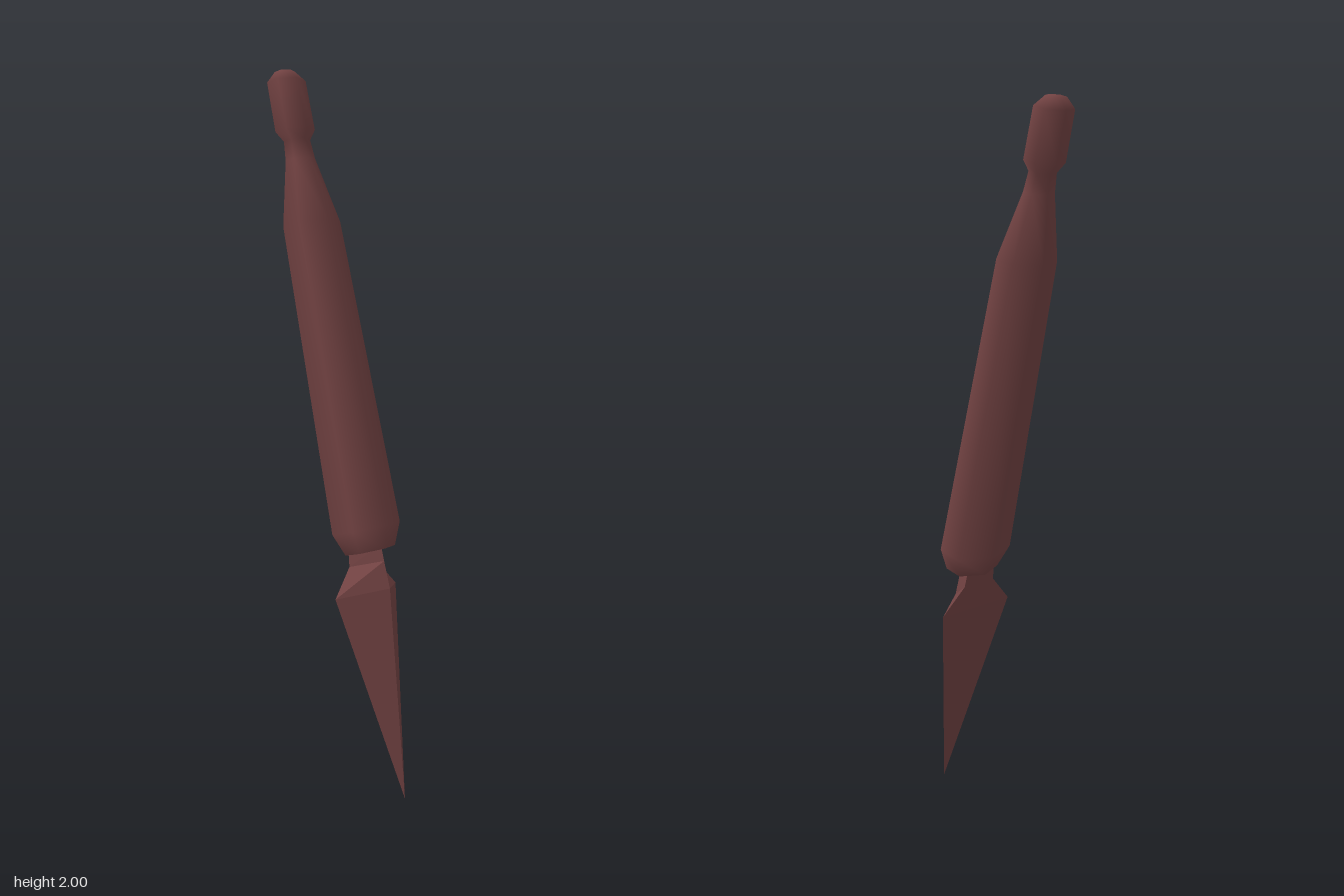
import * as THREE from 'three';

const color = 0x734343;

// Six-sided smooth grip with neck and pommel; x radius listed, z is wider
function makeHandle() {
  const profile = [
    [0.054, 0.707], [0.0735, 0.77], [0.061, 1.626], [0.0315, 1.808],
    [0.028, 1.862], [0.042, 1.89], [0.041, 2.029], [0.021, 2.058], [0, 2.06],
  ].map(([r, y]) => new THREE.Vector2(r, y));
  const handle = new THREE.Group();
  handle.name = 'handle';
  const grip = new THREE.Mesh(
    new THREE.LatheGeometry(profile, 6, Math.PI / 2),
    new THREE.MeshStandardMaterial({ color })
  );
  grip.name = 'grip';
  const base = new THREE.Mesh(
    new THREE.CircleGeometry(0.054, 6).rotateX(Math.PI / 2).translate(0, 0.707, 0),
    new THREE.MeshStandardMaterial({ color })
  );
  base.name = 'gripBase';
  handle.add(grip, base);
  handle.scale.z = 1.62;
  return handle;
}

// Triangular blade: flat back, raised ridge, pointed tip
function makeBlade() {
  // height, back x, ridge x, half width
  const sections = [
    [0.01, -0.0365, -0.0365, 0],
    [0.596, -0.042, 0.045, 0.131],
    [0.673, -0.037, 0.042, 0.057],
    [0.72, -0.034, 0.041, 0.052],
  ];
  const positions = [];
  const index = [];
  sections.forEach(([y, back, ridge, w], i) => {
    positions.push(back, y, w, ridge, y, 0, back, y, -w);
    if (i === sections.length - 1) return;
    for (let k = 0; k < 3; k++) {
      const a = i * 3 + k;
      const b = i * 3 + ((k + 1) % 3);
      if (i > 0) index.push(a, b, b + 3);
      index.push(a, b + 3, a + 3);
    }
  });
  const geometry = new THREE.BufferGeometry();
  geometry.setAttribute('position', new THREE.Float32BufferAttribute(positions, 3));
  geometry.setIndex(index);
  geometry.computeVertexNormals();
  const blade = new THREE.Mesh(
    geometry,
    new THREE.MeshStandardMaterial({ color, flatShading: true })
  );
  blade.name = 'blade';
  return blade;
}

export function createModel() {
  const model = new THREE.Group();
  model.name = 'dagger';
  const tilted = new THREE.Group();
  tilted.name = 'tiltedDagger';
  tilted.add(makeHandle(), makeBlade());
  // Lean the whole tool, tip towards +x
  tilted.rotation.set(-0.004, -0.06, 0.238);
  tilted.position.set(0.277, 0, 0.012);
  model.add(tilted);
  return model;
}
